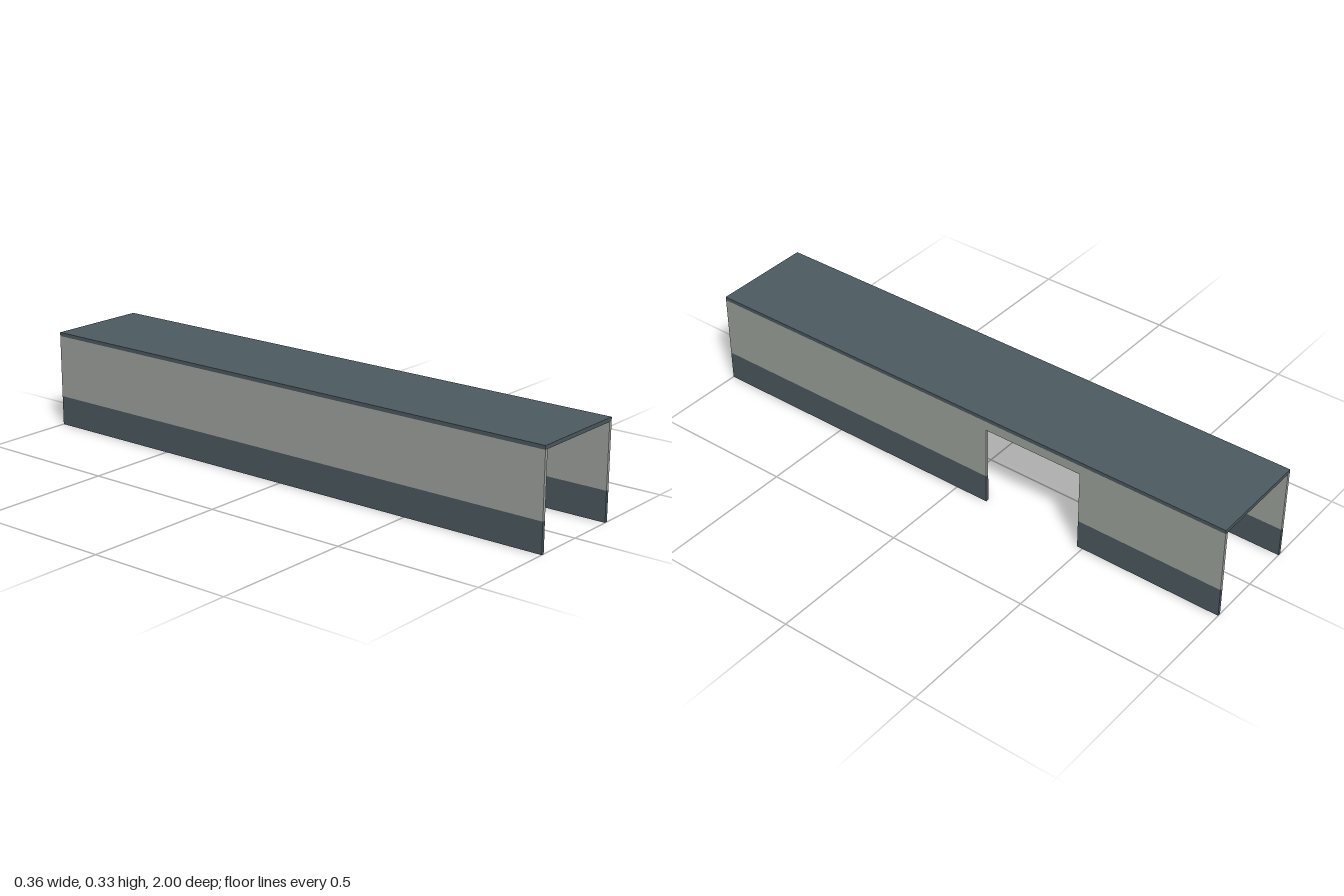
import * as THREE from 'three';

const HALF_X = 0.18, WALL = 0.011, LENGTH = 2;
const BAND_TOP = 0.103, WALL_TOP = 0.321, ROOF_TOP = 0.334;
const DOOR = { front: -0.12, back: -0.48, top: 0.288 };

export function createModel() {
  const model = new THREE.Group();
  model.name = 'coveredPassage';
  const slate = new THREE.MeshStandardMaterial({ color: 0x4d5b61 });
  slate.name = 'slate';
  const plaster = new THREE.MeshStandardMaterial({ color: 0xa0a59f });
  plaster.name = 'plaster';

  const addBox = (parent, name, material, x, y0, y1, z0, z1, width) => {
    const mesh = new THREE.Mesh(new THREE.BoxGeometry(width, y1 - y0, z1 - z0), material);
    mesh.position.set(x, (y0 + y1) / 2, (z0 + z1) / 2);
    mesh.name = name;
    parent.add(mesh);
  };

  // Upper wall, outlined in z and y, with an optional doorway notch
  const addUpperWall = (parent, x, hasDoor) => {
    const h = LENGTH / 2;
    const points = [[-h, BAND_TOP]];
    if (hasDoor) {
      points.push([DOOR.back, BAND_TOP], [DOOR.back, DOOR.top],
        [DOOR.front, DOOR.top], [DOOR.front, BAND_TOP]);
    }
    points.push([h, BAND_TOP], [h, WALL_TOP], [-h, WALL_TOP]);
    // Shape x runs along -z after the quarter turn
    const shape = new THREE.Shape(points.map(([z, y]) => new THREE.Vector2(-z, y)));
    const geometry = new THREE.ExtrudeGeometry(shape, { depth: WALL, bevelEnabled: false });
    geometry.rotateY(Math.PI / 2);
    geometry.translate(x - WALL / 2, 0, 0);
    const mesh = new THREE.Mesh(geometry, plaster);
    mesh.name = 'upperWall';
    parent.add(mesh);
  };

  // Side walls: the +x wall has the doorway
  for (const side of [1, -1]) {
    const wall = new THREE.Group();
    wall.name = side > 0 ? 'leftWall' : 'rightWall';
    const x = side * (HALF_X - WALL / 2);
    const hasDoor = side > 0;
    addUpperWall(wall, x, hasDoor);
    const spans = hasDoor ? [[-1, DOOR.back], [DOOR.front, 1]] : [[-1, 1]];
    for (const [z0, z1] of spans) addBox(wall, 'lowerBand', slate, x, 0, BAND_TOP, z0, z1, WALL);
    model.add(wall);
  }

  // Flat roof
  addBox(model, 'roof', slate, 0, WALL_TOP, ROOF_TOP, -1, 1, HALF_X * 2);
  return model;
}
